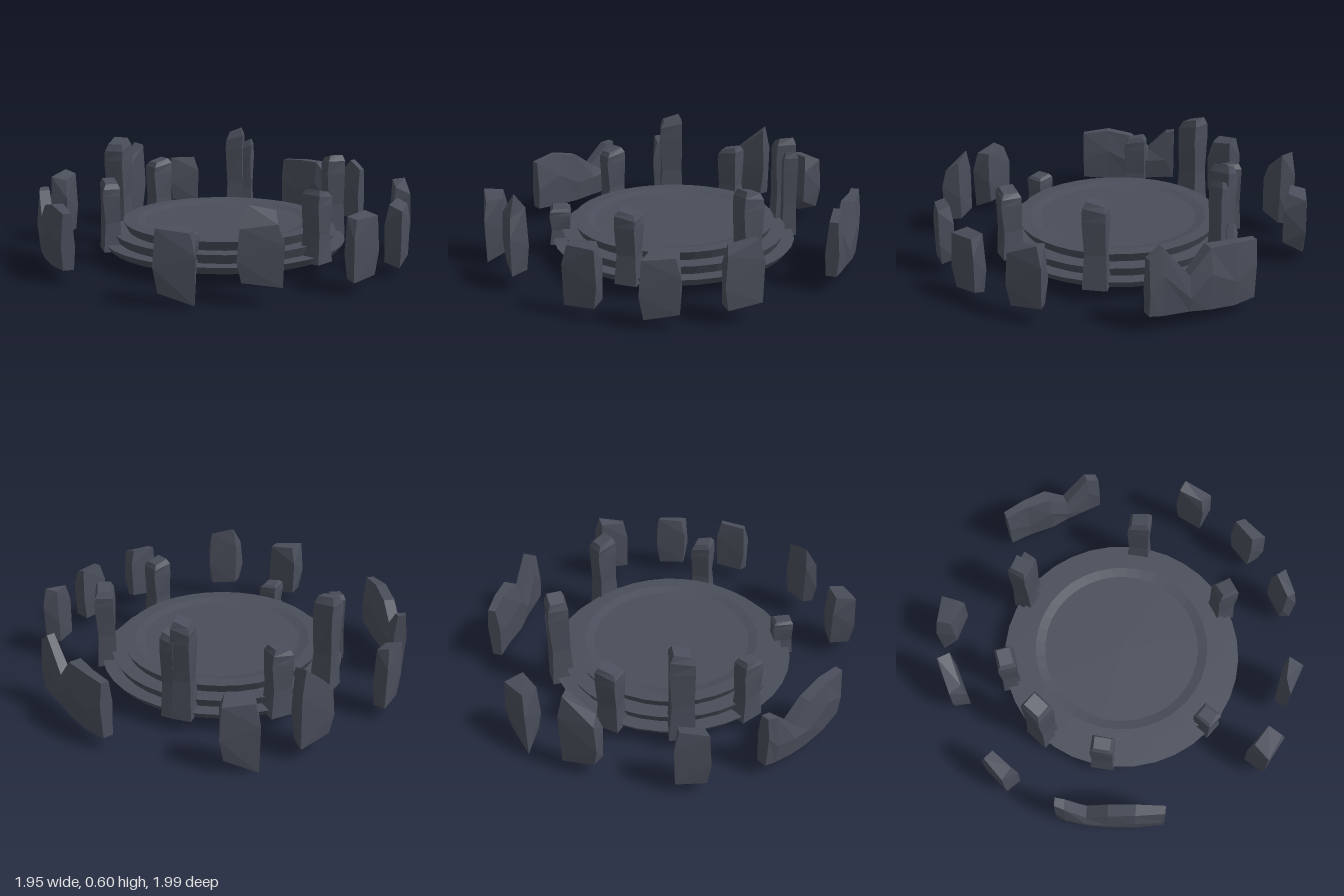
import * as THREE from 'three';
import { ConvexGeometry } from 'three/addons/geometries/ConvexGeometry.js';

const V = (x, y, z) => new THREE.Vector3(x, y, z);

// Skin over matching rings of points, closed at both ends
function loft(rings) {
  const pos = [];
  const tri = (...pts) => pts.forEach((p) => pos.push(p.x, p.y, p.z));
  const n = rings[0].length;
  for (let r = 0; r < rings.length - 1; r++) {
    const a = rings[r], b = rings[r + 1];
    for (let i = 0; i < n; i++) {
      const j = (i + 1) % n;
      tri(a[i], a[j], b[j]);
      tri(a[i], b[j], b[i]);
    }
  }
  const first = rings[0], last = rings[rings.length - 1];
  for (let i = 1; i < n - 1; i++) {
    tri(first[0], first[i + 1], first[i]);
    tri(last[0], last[i], last[i + 1]);
  }
  const g = new THREE.BufferGeometry();
  g.setAttribute('position', new THREE.Float32BufferAttribute(pos, 3));
  g.computeVertexNormals();
  return g;
}

// Faceted boulder slab: plan corners, with a foot and a top height for each corner
function stoneGeometry(corners, feet, tops) {
  const cx = corners.reduce((s, c) => s + c[0], 0) / 4;
  const cz = corners.reduce((s, c) => s + c[1], 0) / 4;
  const pts = [];
  corners.forEach(([x, z], i) => {
    const at = (k, y) => pts.push(V(cx + (x - cx) * k, y, cz + (z - cz) * k));
    at(i % 2 ? 0.94 : 0.8, feet[i]);
    at(1, feet[i] + (tops[i] - feet[i]) * (i % 2 ? 0.68 : 0.4));
    at(i % 2 ? 0.72 : 0.88, tops[i]);
  });
  return new ConvexGeometry(pts);
}

// Standing pillar with a pinched waist, a flared head and a slanted top
function pillarGeometry(x, z, height, w, d) {
  const yaw = Math.atan2(x, z);
  const base = 0.065, span = height - base;
  const levels = [[0, 1.05, 0], [0.4, 0.88, 0.06], [0.78, 0.98, -0.06], [0.93, 0.95, 0], [1, 0.7, 0.05]];
  return loft(levels.map(([t, k, twist]) =>
    [[1, 1], [1, -1], [-1, -1], [-1, 1]].map(([sx, sz]) => {
      const drop = t > 0.9 && sx > 0 ? span * 0.05 : 0;
      return V(sx * w * k / 2, base + t * span - drop, sz * d * k / 2)
        .applyAxisAngle(V(0, 1, 0), yaw + twist).add(V(x, 0, z));
    })));
}

// Broken wall: stations of x, z, half thickness, foot, top
function wallGeometry(stations) {
  const a = stations[0], b = stations[stations.length - 1];
  const dir = V(b[0] - a[0], 0, b[1] - a[1]).normalize();
  const side = V(dir.z, 0, -dir.x);
  return loft(stations.map(([x, z, t, y0, y1], i) => {
    const mid = y0 + (y1 - y0) * (i % 2 ? 0.4 : 0.6);
    return [[0.75, y0], [1, mid], [0.6, y1], [-0.6, y1], [-1, mid], [-0.75, y0]]
      .map(([k, y]) => V(x, y, z).addScaledVector(side, k * t));
  }));
}

export function createModel() {
  const group = new THREE.Group();
  const stone = new THREE.MeshStandardMaterial({ color: 0x4a4e5a, flatShading: true });
  stone.name = 'slate stone';
  const add = (name, geometry) => {
    const mesh = new THREE.Mesh(geometry, stone);
    mesh.name = name;
    group.add(mesh);
    return mesh;
  };

  // Three undercut tiers with a shallow sunken floor
  const profile = [
    [0, 0.06], [0.62, 0.06], [0.65, 0.1], [0.575, 0.1], [0.6, 0.15],
    [0.515, 0.15], [0.54, 0.2], [0.47, 0.2], [0.42, 0.187], [0, 0.187],
  ].map(([r, y]) => new THREE.Vector2(r, y));
  add('steppedPlatform', new THREE.LatheGeometry(profile, 36)).position.z = 0.01;

  // Pillars on the platform edge: x, z, height, width, depth
  [
    [-0.18, -0.59, 0.44, 0.12, 0.1],
    [0.28, -0.54, 0.6, 0.1, 0.11],
    [-0.475, -0.385, 0.6, 0.13, 0.11],
    [-0.61, -0.05, 0.44, 0.12, 0.09],
    [0.62, 0.07, 0.52, 0.12, 0.1],
    [-0.375, 0.49, 0.27, 0.1, 0.11],
    [0.29, 0.55, 0.44, 0.11, 0.11],
  ].forEach(([x, z, h, w, d], i) => add(`pillar${i + 1}`, pillarGeometry(x, z, h, w, d)));

  // Lower spur against the tall rear pillar
  add('pillarSpur', pillarGeometry(0.345, -0.52, 0.535, 0.07, 0.08));

  // Ring of loose stones: plan corners, feet, tops
  [
    [[[-0.39, -0.87], [-0.35, -0.79], [-0.18, -0.87], [-0.21, -0.95]], [0.1, 0.09, 0.08, 0.07], [0.35, 0.37, 0.48, 0.49]],
    [[[-0.01, -0.9], [-0.01, -1], [0.18, -0.98], [0.16, -0.86]], [0.12, 0, 0.07, 0.12], [0.385, 0.37, 0.36, 0.385]],
    [[[-0.83, -0.54], [-0.75, -0.48], [-0.66, -0.61], [-0.71, -0.67]], [0.07, 0.06, 0.06, 0.07], [0.38, 0.36, 0.38, 0.4]],
    [[[0.87, 0.27], [0.95, 0.29], [0.88, 0.47], [0.8, 0.42]], [0.09, 0.1, 0.08, 0.08], [0.4, 0.41, 0.35, 0.38]],
    [[[0.72, 0.59], [0.77, 0.64], [0.64, 0.78], [0.59, 0.7]], [0.06, 0.08, 0.05, 0.07], [0.37, 0.35, 0.34, 0.36]],
    [[[0.27, 0.89], [0.42, 0.81], [0.46, 0.88], [0.29, 0.95]], [0.07, 0.09, 0.07, 0.06], [0.37, 0.38, 0.36, 0.36]],
    [[[-0.28, 0.91], [-0.23, 0.86], [-0.07, 0.89], [-0.08, 0.99]], [0.11, 0.11, 0.1, 0.09], [0.36, 0.46, 0.43, 0.38]],
    [[[-0.64, 0.8], [-0.56, 0.7], [-0.43, 0.8], [-0.47, 0.9]], [0.07, 0.08, 0.06, 0.02], [0.37, 0.37, 0.36, 0.35]],
  ].forEach((s, i) => add(`looseStone${i + 1}`, stoneGeometry(...s)));

  // Two longer broken walls
  add('leftWall', wallGeometry([
    [0.67, -0.68, 0.035, 0.07, 0.37], [0.74, -0.58, 0.04, 0.06, 0.38], [0.8, -0.46, 0.055, 0.07, 0.38],
    [0.85, -0.37, 0.045, 0.08, 0.26], [0.91, -0.25, 0.035, 0.08, 0.42], [0.94, -0.19, 0.035, 0.09, 0.37],
  ]));
  add('rightWall', wallGeometry([
    [-0.91, -0.27, 0.035, 0.08, 0.38], [-0.92, -0.22, 0.045, 0.08, 0.37], [-0.93, -0.11, 0.05, 0.07, 0.26],
    [-0.93, 0, 0.05, 0.06, 0.34], [-0.925, 0.14, 0.048, 0.06, 0.37], [-0.91, 0.29, 0.035, 0.07, 0.35],
  ]));

  return group;
}
